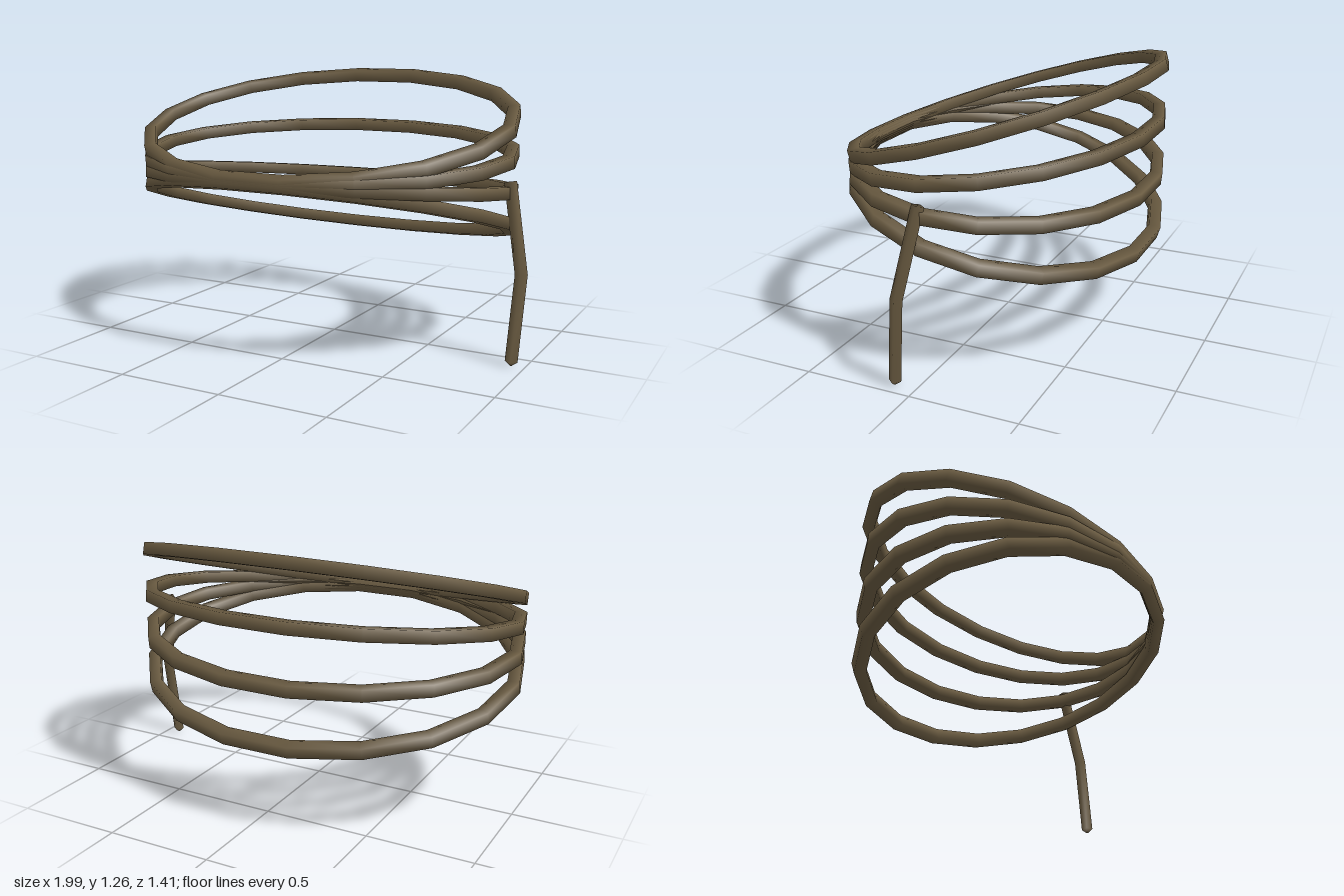
import * as THREE from 'three';

const bark = new THREE.MeshStandardMaterial({ color: 0x6b5c42 });
bark.name = 'dark olive brown';

// Square bar swept through frames { p, u, v, h }, where u x v points along the path
function sweepBar(name, frames, closed) {
  const pos = [], idx = [], n = frames.length;
  for (const { p, u, v, h } of frames) {
    for (const [a, b] of [[1, -1], [1, 1], [-1, 1], [-1, -1]]) {
      const c = p.clone().addScaledVector(u, a * h).addScaledVector(v, b * h);
      pos.push(c.x, c.y, c.z);
    }
  }
  const quad = (a, b, c, d) => idx.push(a, b, c, a, c, d);
  for (let i = 0; i < (closed ? n : n - 1); i++) {
    const s = i * 4, e = ((i + 1) % n) * 4;
    for (let j = 0; j < 4; j++) {
      const k = (j + 1) % 4;
      quad(s + j, s + k, e + k, e + j);
    }
  }
  if (!closed) {
    const e = (n - 1) * 4;
    quad(3, 2, 1, 0);
    quad(e, e + 1, e + 2, e + 3);
  }
  const geo = new THREE.BufferGeometry();
  geo.setAttribute('position', new THREE.Float32BufferAttribute(pos, 3));
  geo.setIndex(idx);
  geo.computeVertexNormals();
  const mesh = new THREE.Mesh(geo, bark);
  mesh.name = name;
  return mesh;
}

// Eighteen-sided oval hoop, tilted about x
function hoop(name, y, slope) {
  const tilt = Math.atan(slope), rx = 0.919, rz = 0.68 / Math.cos(tilt);
  const frames = [];
  for (let i = 0; i < 18; i++) {
    const a = (i / 18) * Math.PI * 2, c = Math.cos(a), s = Math.sin(a);
    frames.push({
      p: new THREE.Vector3(rx * c, 0, rz * s),
      u: new THREE.Vector3(c / rx, 0, s / rz).normalize(),
      v: new THREE.Vector3(0, 1, 0),
      h: 0.028,
    });
  }
  const mesh = sweepBar(name, frames, true);
  mesh.position.set(-0.053, y, 0);
  mesh.rotation.x = tilt;
  return mesh;
}

// Bent hanging tail with a short pointed end
function tail() {
  const pts = [[0.877, 0.805, 0], [0.96, 0.41, 0.068], [0.938, 0.022, 0.102], [0.937, 0.003, 0.103]]
    .map((q) => new THREE.Vector3(...q));
  const u = new THREE.Vector3(-0.07, 0, 0.095).normalize();
  const frames = pts.map((p, i) => {
    const t = pts[Math.min(i + 1, 3)].clone().sub(pts[Math.max(i - 1, 0)]).normalize();
    const side = u.clone().addScaledVector(t, -u.dot(t)).normalize();
    return { p, u: side, v: t.clone().cross(side), h: i === 3 ? 0.003 : 0.02 };
  });
  return sweepBar('hangingTail', frames, false);
}

export function createModel() {
  const model = new THREE.Group();
  model.name = 'fannedHoops';
  // Hoops meet at the front and fan apart toward the back
  ['topHoop', 'upperHoop', 'lowerHoop', 'bottomHoop'].forEach((name, i) => {
    const k = 1.5 - i;
    model.add(hoop(name, 0.823 + k * 0.137, k * 0.196));
  });
  model.add(tail());
  return model;
}
